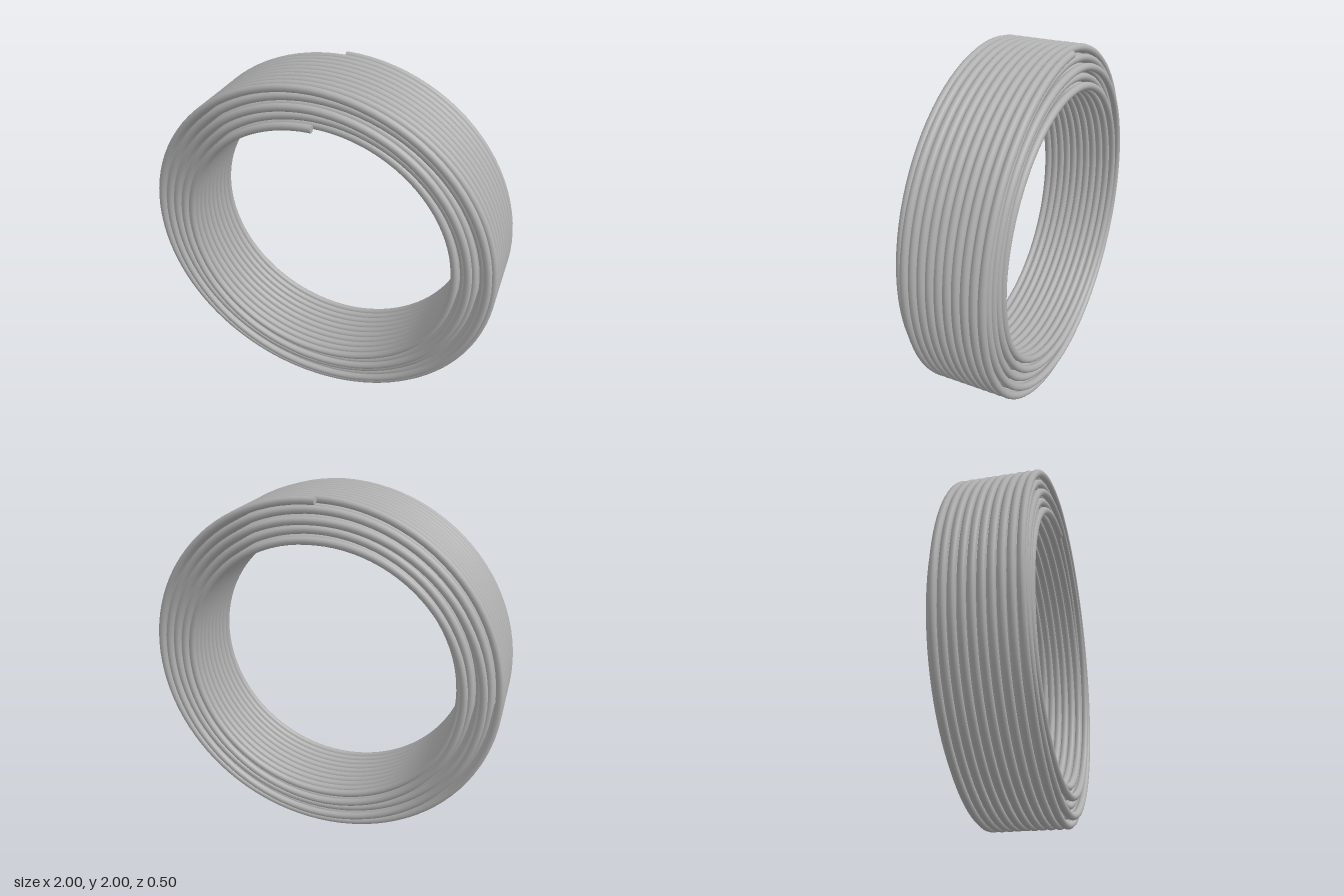
import * as THREE from 'three';

const WIRE = 0.0208;      // wire radius
const LAYERS = 5;         // concentric layers of winding
const TURNS = 10;         // turns in each layer
const OUTER = 1 - WIRE;   // centre-line radius of the outer layer
const STEP = 0.05;        // radial distance between layers
const HALF = 0.228;       // centre-line half width of the coil
const HOP = 0.5;          // turns taken to drop to the next layer
const TOTAL = LAYERS * TURNS + (LAYERS - 1) * HOP;

// One continuous wire, wound back and forth from the outside to the inside
class WindingCurve extends THREE.Curve {
  getPoint(t, target = new THREE.Vector3()) {
    const turn = t * TOTAL;
    const layer = Math.min(LAYERS - 1, Math.floor(turn / (TURNS + HOP)));
    const local = turn - layer * (TURNS + HOP);
    const along = Math.min(1, local / TURNS);
    const hop = THREE.MathUtils.clamp((local - TURNS) / HOP, 0, 1);
    const r = OUTER - STEP * (layer + hop);
    const z = HALF * (2 * along - 1) * (layer % 2 ? -1 : 1);
    const a = turn * Math.PI * 2;
    return target.set(r * Math.sin(a), 1 + r * Math.cos(a), z);
  }
  // The parameter is already nearly even along the wire
  getUtoTmapping(u) {
    return u;
  }
}

export function createModel() {
  const group = new THREE.Group();
  group.name = 'wireCoil';
  const metal = new THREE.MeshStandardMaterial({ color: 0xb0b0b0 });
  metal.name = 'grey metal';

  const path = new WindingCurve();
  const wire = new THREE.Mesh(new THREE.TubeGeometry(path, TOTAL * 96, WIRE, 12, false), metal);
  wire.name = 'woundWire';
  group.add(wire);

  // Flat cut faces at both ends of the wire
  for (const [name, t, sign] of [['outerWireEnd', 0, -1], ['innerWireEnd', 1, 1]]) {
    const cap = new THREE.Mesh(new THREE.CircleGeometry(WIRE, 12), metal);
    cap.name = name;
    cap.position.copy(path.getPoint(t));
    const out = path.getTangent(t).multiplyScalar(sign);
    cap.quaternion.setFromUnitVectors(new THREE.Vector3(0, 0, 1), out);
    group.add(cap);
  }
  return group;
}
